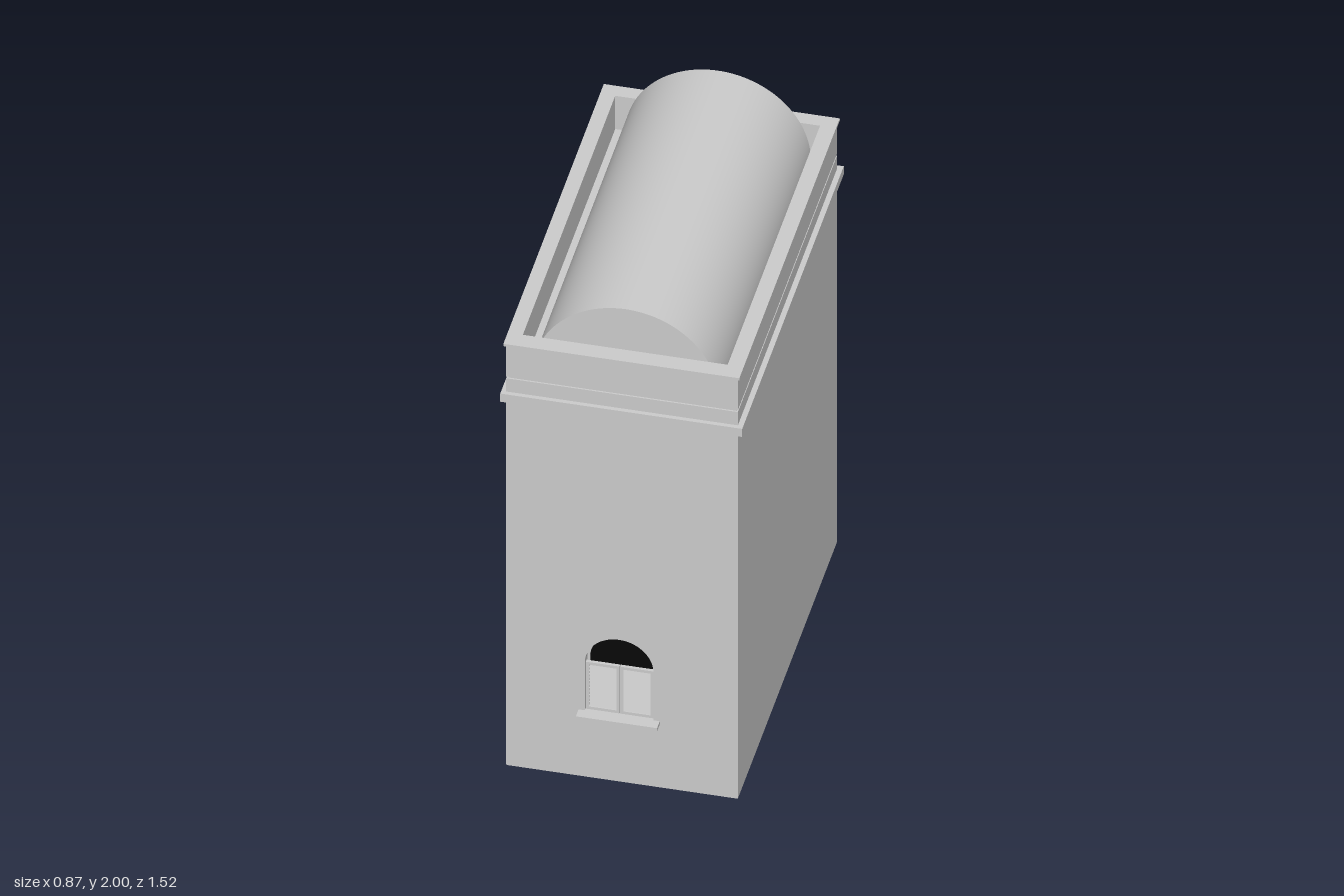
import * as THREE from 'three';

const stone = new THREE.MeshStandardMaterial({ color: 0xcccccc });
stone.name = 'pale grey stone';
const dark = new THREE.MeshStandardMaterial({ color: 0x080808 });
dark.name = 'black glass';

const WALL = 0.05; // depth of the window recesses
const X0 = -0.395, X1 = 0.415, Z0 = -0.74, Z1 = 0.72;
const BASE = 0.006, TOP = 1.672;

function add(parent, name, geometry, material = stone) {
  const mesh = new THREE.Mesh(geometry, material);
  mesh.name = name;
  parent.add(mesh);
  return mesh;
}

// Box given by its limits on each axis
function block(parent, name, [x0, x1], [y0, y1], [z0, z1], material) {
  const mesh = add(parent, name, new THREE.BoxGeometry(x1 - x0, y1 - y0, z1 - z0), material);
  mesh.position.set((x0 + x1) / 2, (y0 + y1) / 2, (z0 + z1) / 2);
  return mesh;
}

function rectangle(Kind, x0, x1, y0, y1) {
  return new Kind([[x0, y0], [x1, y0], [x1, y1], [x0, y1]].map(p => new THREE.Vector2(...p)));
}

// Round-headed outline
function arch(Kind, u, r, y0, spring) {
  const s = new Kind();
  s.moveTo(u - r, y0);
  s.lineTo(u + r, y0);
  s.lineTo(u + r, spring);
  s.absarc(u, spring, r, 0, Math.PI, false);
  s.closePath();
  return s;
}

function extrude(shape, depth) {
  return new THREE.ExtrudeGeometry(shape, { depth, bevelEnabled: false, curveSegments: 24 });
}

// Flat rectangular ring around the roof
function ring(parent, name, [x0, x1], [z0, z1], [y0, y1]) {
  const shape = rectangle(THREE.Shape, x0, x1, -z1, -z0);
  shape.holes.push(rectangle(THREE.Path, -0.35, 0.366, -0.664, 0.695));
  const mesh = add(parent, name, extrude(shape, y1 - y0));
  mesh.rotation.x = -Math.PI / 2;
  mesh.position.y = y0;
}

// Louvred shutter leaf: a frame with tilted slats
function shutter(parent, name, u0, u1, y0, y1, z, count) {
  const g = new THREE.Group();
  g.name = name;
  const t = 0.012, w = 0.011;
  block(g, 'shutterStile', [u0, u0 + w], [y0, y1], [z, z + t]);
  block(g, 'shutterStile', [u1 - w, u1], [y0, y1], [z, z + t]);
  block(g, 'shutterRail', [u0 + w, u1 - w], [y0, y0 + w], [z, z + t]);
  block(g, 'shutterRail', [u0 + w, u1 - w], [y1 - w, y1], [z, z + t]);
  block(g, 'shutterBack', [u0 + w, u1 - w], [y0 + w, y1 - w], [z, z + 0.002]);
  const step = (y1 - y0 - 2 * w) / count;
  for (let i = 0; i < count; i++) {
    const y = y0 + w + step * (i + 0.5);
    const slat = block(g, 'slat', [u0 + w, u1 - w], [y - step * 0.45, y + step * 0.45], [z + 0.004, z + 0.007]);
    slat.rotation.x = -0.3;
  }
  parent.add(g);
}

// Wall with a recessed arched window; local +z points outwards
function windowWall(name, u0, u1, u, r, y0, spring, sillOut) {
  const g = new THREE.Group();
  g.name = name;
  const shape = rectangle(THREE.Shape, u0, u1, BASE, TOP);
  shape.holes.push(arch(THREE.Path, u, r, y0, spring));
  add(g, 'wall', extrude(shape, WALL)).position.z = -WALL;
  add(g, 'glass', extrude(arch(THREE.Shape, u, r, y0, spring), 0.004), dark).position.z = -WALL;
  block(g, 'sill', [u - 0.142, u + 0.142], [y0 - 0.014, y0], [-0.02, sillOut]);
  // Thin frame following the opening
  const frame = arch(THREE.Shape, u, r, y0, spring);
  frame.holes.push(arch(THREE.Path, u, r - 0.009, y0 + 0.009, spring));
  add(g, 'windowFrame', extrude(frame, 0.014)).position.z = -WALL;
  return g;
}

export function createModel() {
  const model = new THREE.Group();
  model.name = 'tower';

  // Solid body, with a slight setback at the foot and under the parapet
  block(model, 'body', [X0 + WALL, X1], [BASE, TOP], [Z0, Z1 - WALL]);
  for (const [name, y] of [['foot', [0, BASE]], ['groove', [TOP, 1.682]]]) {
    block(model, name, [X0 + 0.006, X1 - 0.006], y, [Z0 + 0.006, Z1 - 0.006]);
  }

  // Front wall: window with closed shutters
  const front = windowWall('frontWall', X0, X1, 0, 0.12, 0.29, 0.495, 0.04);
  front.position.z = Z1;
  shutter(front, 'closedShutter', -0.119, -0.001, 0.29, 0.492, -0.022, 12);
  shutter(front, 'closedShutter', 0.001, 0.119, 0.29, 0.492, -0.022, 12);
  model.add(front);

  // Side wall: taller window with glazing bars and open shutters
  const side = windowWall('sideWall', Z0, Z1 - WALL, 0.293, 0.12, 0.29, 0.54, 0.042);
  side.position.x = X0;
  side.rotation.y = -Math.PI / 2;
  shutter(side, 'openShutter', 0.053, 0.172, 0.288, 0.536, 0, 8);
  shutter(side, 'openShutter', 0.414, 0.533, 0.288, 0.536, 0, 8);
  block(side, 'mullion', [0.284, 0.302], [0.29, 0.54], [-WALL, -0.034]);
  for (const y of [0.37, 0.45, 0.54]) {
    block(side, 'glazingBar', [0.174, 0.412], [y - 0.006, y + 0.006], [-WALL, -0.035]);
  }
  model.add(side);

  // Cornice and hollow parapet
  block(model, 'cornice', [-0.412, 0.434], [1.58, 1.615], [-0.758, 0.736]);
  ring(model, 'parapet', [X0, X1], [Z0, Z1], [1.68, 1.815]);
  ring(model, 'coping', [-0.403, 0.422], [-0.75, 0.728], [1.815, 1.825]);

  // Barrel vault rising from the roof deck
  const vault = new THREE.CylinderGeometry(0.324, 0.324, 1.357, 64, 1, false, Math.PI / 2, Math.PI);
  vault.rotateX(Math.PI / 2);
  add(model, 'barrelVault', vault).position.set(0.01, 1.676, -0.0145);

  return model;
}
